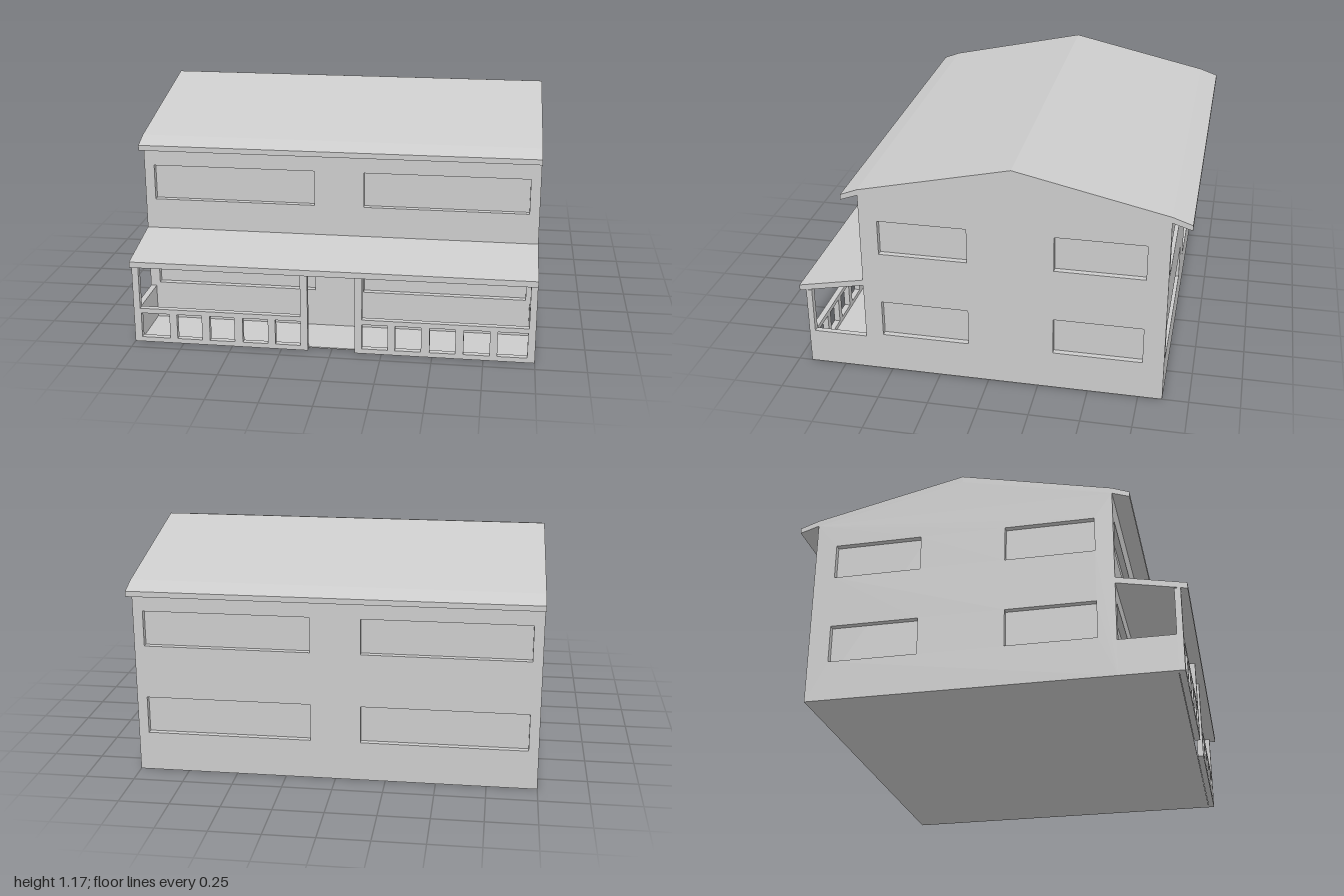
import * as THREE from 'three';

const material = new THREE.MeshStandardMaterial({ color: 0xcccccc, flatShading: true });
const T = 0.03; // wall thickness, also the depth of the window recesses

function rectPath(x0, x1, y0, y1) {
  return new THREE.Path([[x0, y0], [x1, y0], [x1, y1], [x0, y1]].map(p => new THREE.Vector2(...p)));
}

function extrude(points, depth, holes = []) {
  const shape = new THREE.Shape(points.map(p => new THREE.Vector2(...p)));
  shape.holes = holes.map(h => rectPath(...h));
  return new THREE.ExtrudeGeometry(shape, { depth, bevelEnabled: false });
}

// Extrudes a [z, y] profile along x, from x0 to x1
function extrudeX(points, x0, x1, holes = []) {
  const geo = extrude(points.map(([z, y]) => [-z, y]), x1 - x0,
    holes.map(([z0, z1, y0, y1]) => [-z1, -z0, y0, y1]));
  return geo.rotateY(Math.PI / 2).translate(x0, 0, 0);
}

function box(x0, x1, y0, y1, z0, z1) {
  return new THREE.BoxGeometry(x1 - x0, y1 - y0, z1 - z0)
    .translate((x0 + x1) / 2, (y0 + y1) / 2, (z0 + z1) / 2);
}

export function createModel() {
  const model = new THREE.Group();
  const add = (name, geometry) => {
    const mesh = new THREE.Mesh(geometry, material);
    mesh.name = name;
    model.add(mesh);
  };

  const front = 0.63, back = -0.87, ridge = -0.12;
  const rows = [[0.2, 0.39], [0.66, 0.84]];

  // Inner core: its faces are the window panes
  add('windowPanes', extrudeX([[front - T, 0], [front - T, 0.97], [ridge, 1.135],
    [back + T, 0.97], [back + T, 0]], -1 + T, 1 - T));

  // Gable walls with two rows of windows
  const gable = [[front, 0], [front, 0.97], [ridge, 1.135], [back, 0.97], [back, 0]];
  const sideWindows = rows.flatMap(r => [[0.1, 0.54, ...r], [-0.765, -0.325, ...r]]);
  add('leftWall', extrudeX(gable, 1 - T, 1, sideWindows));
  add('rightWall', extrudeX(gable, -1, -1 + T, sideWindows));

  // Front and back walls
  const longWall = [[-1 + T, 0], [1 - T, 0], [1 - T, 0.972], [-1 + T, 0.972]];
  const longWindows = rows.flatMap(r => [[-0.95, -0.125, ...r], [0.125, 0.95, ...r]]);
  add('frontWall', extrude(longWall, T, longWindows).translate(0, 0, front - T));
  add('backWall', extrude(longWall, T, longWindows).translate(0, 0, back));

  // Main roof with flared eaves
  add('mainRoof', extrudeX([
    [0.715, 0.967], [front, 1.0], [ridge, 1.167], [back, 1.0], [-0.965, 0.967],
    [-0.965, 0.94], [back, 0.97], [ridge, 1.135], [front, 0.97], [0.715, 0.94],
  ], -1, 1));

  // Lean-to porch roof and floor
  add('porchRoof', extrudeX([[front, 0.505], [0.965, 0.44], [0.965, 0.41], [front, 0.475]], -1, 1));
  add('porchFloor', box(-1 + T, 1 - T, 0, 0.006, front, 0.9));

  // Porch front: posts and parapet with square openings, mirrored about the entrance
  const openings = [[0.153, 0.28], [0.317, 0.445], [0.487, 0.613], [0.653, 0.78], [0.818, 0.963]];
  for (const [side, s] of [['left', 1], ['right', -1]]) {
    const outline = [[0.117, 0], [1, 0], [1, 0.417], [0.967, 0.417], [0.967, 0.18],
      [0.153, 0.18], [0.153, 0.417], [0.117, 0.417]].map(([x, y]) => [s * x, y]);
    const holes = openings.map(([a, b]) => [Math.min(s * a, s * b), Math.max(s * a, s * b), 0.025, 0.155]);
    add(side + 'PorchFront', extrude(outline, T, holes).translate(0, 0, 0.902));
    const x = s * (1 - T / 2);
    add(side + 'PorchParapet', box(x - T / 2, x + T / 2, 0, 0.18, front, 0.902));
  }

  return model;
}
